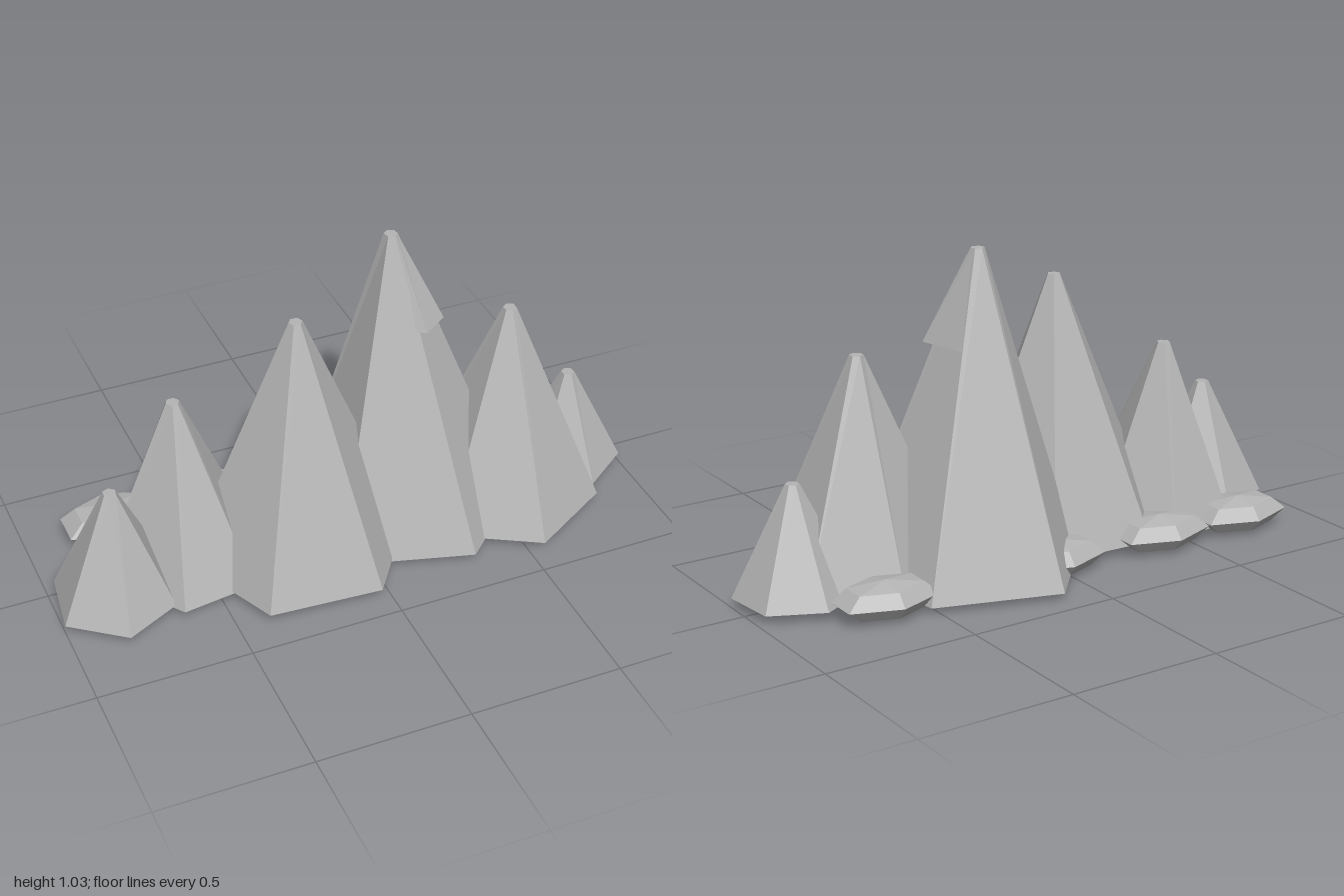
import * as THREE from 'three';

const stone = new THREE.MeshStandardMaterial({ color: 0xb4b4b4 });
stone.name = 'grey stone';

// Faceted, blunt-tipped pyramid: base corners [x, z] in order of angle, tip [x, y, z]
function makePeak(name, corners, baseY, [tx, ty, tz], tipRadius = 0.022) {
  const n = corners.length;
  const pos = [];
  for (const [x, z] of corners) pos.push(x, baseY, z);
  for (const [x, z] of corners) {
    const d = Math.hypot(x - tx, z - tz);
    pos.push(tx + (x - tx) / d * tipRadius, ty, tz + (z - tz) / d * tipRadius);
  }
  pos.push(tx, baseY, tz, tx, ty, tz);
  const index = [];
  for (let i = 0; i < n; i++) {
    const j = (i + 1) % n;
    index.push(i, n + i, j, j, n + i, n + j); // side
    index.push(2 * n, i, j, 2 * n + 1, n + j, n + i); // underside and blunt tip
  }
  const indexed = new THREE.BufferGeometry();
  indexed.setAttribute('position', new THREE.Float32BufferAttribute(pos, 3));
  indexed.setIndex(index);
  const geometry = indexed.toNonIndexed();
  geometry.computeVertexNormals();
  const mesh = new THREE.Mesh(geometry, stone);
  mesh.name = name;
  return mesh;
}

export function createModel() {
  const group = new THREE.Group();
  group.name = 'mountainRange';

  // Six peaks from the right-hand end (-x) to the left-hand end (+x)
  const peaks = [
    { name: 'outerRightPeak', tip: [-0.80, 0.42, 0.09], y: 0.029,
      base: [[-0.60, 0.03], [-0.65, 0.23], [-0.83, 0.32], [-1, 0.19], [-0.97, -0.03], [-0.77, -0.11]] },
    { name: 'innerRightPeak', tip: [-0.55, 0.62, -0.015], y: 0.025,
      base: [[-0.28, -0.03], [-0.39, 0.235], [-0.636, 0.27], [-0.83, 0], [-0.69, -0.22], [-0.43, -0.255]] },
    { name: 'centreRightPeak', tip: [-0.18, 0.88, 0.085], y: 0.031,
      base: [[0.19, 0.11], [-0.03, 0.42], [-0.40, 0.395], [-0.56, 0.04], [-0.345, -0.235], [0.02, -0.22]] },
    { name: 'tallestPeak', tip: [0.187, 1.035, -0.037], y: 0.022,
      base: [[0.587, 0.12], [0.32, 0.37], [-0.10, 0.25], [-0.10, -0.17], [0.13, -0.43], [0.53, -0.305]] },
    { name: 'innerLeftPeak', tip: [0.56, 0.73, 0.065], y: 0.026,
      base: [[0.83, 0.245], [0.55, 0.41], [0.27, 0.25], [0.27, -0.08], [0.555, -0.20], [0.85, -0.11]] },
    { name: 'outerLeftPeak', tip: [0.815, 0.38, 0.02], y: 0.030,
      base: [[1, 0.085], [0.84, 0.20], [0.66, 0.12], [0.65, -0.09], [0.81, -0.18], [0.98, -0.10]] },
  ];
  for (const p of peaks) group.add(makePeak(p.name, p.base, p.y, p.tip));

  // Rock cap that overhangs one shoulder of the tallest peak
  const cap = [[0.335, 0.05], [0.25, 0.11], [0.125, 0.04], [0.13, -0.06], [0.18, -0.14], [0.30, -0.12]];
  group.add(makePeak('summitCap', cap, 0.74, [0.19, 1.03, -0.035], 0.02));

  // Flattened six-sided boulders along the back
  const boulder = new THREE.SphereGeometry(1, 6, 4).rotateY(Math.PI / 6)
    .scale(0.182, 0.058, 0.115).toNonIndexed();
  boulder.computeVertexNormals();
  [-0.71, -0.387, 0.03, 0.642].forEach((x, i) => {
    const mesh = new THREE.Mesh(boulder, stone);
    mesh.name = `boulder${i + 1}`;
    mesh.position.set(x, 0.058, -0.227);
    group.add(mesh);
  });

  return group;
}
